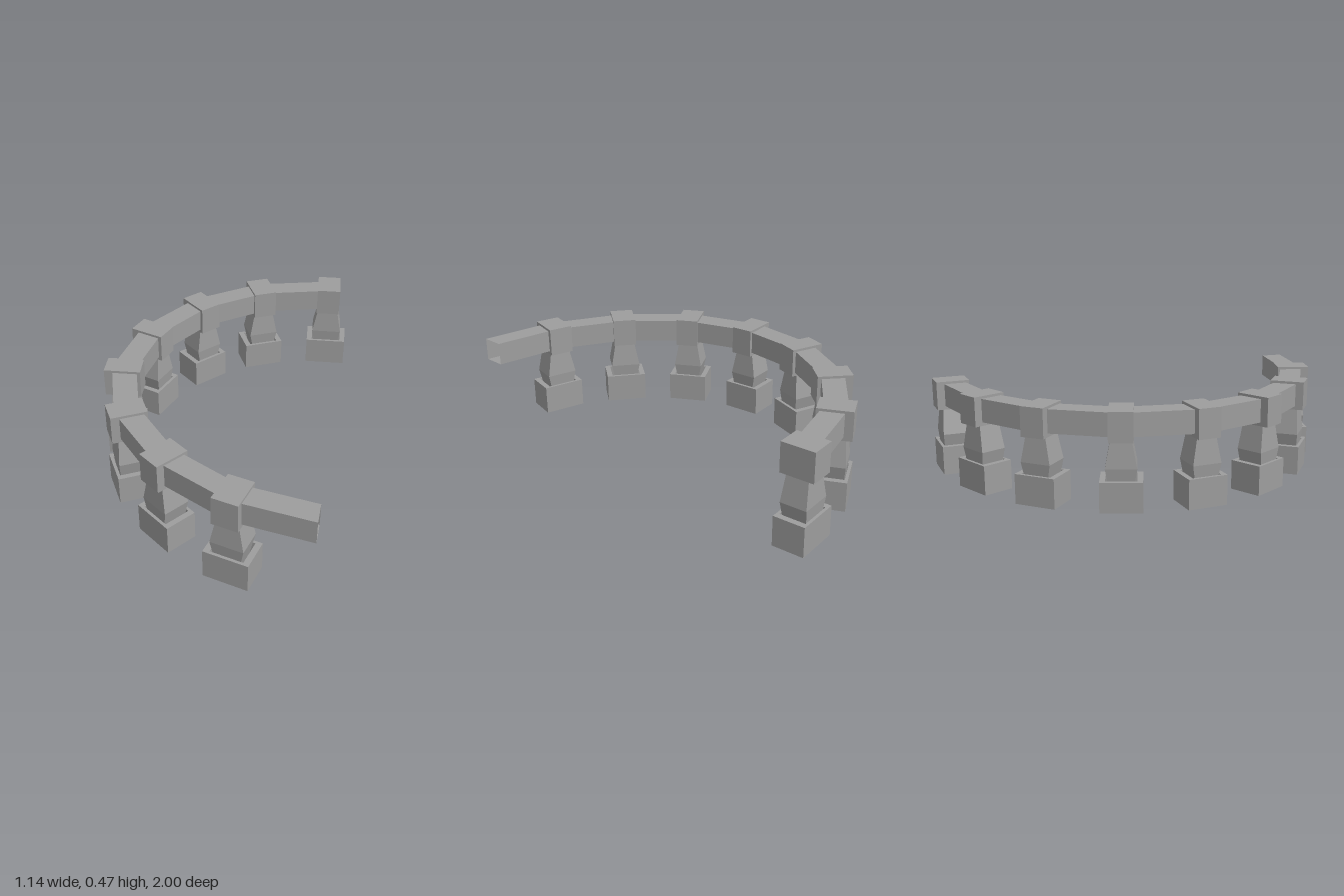
import * as THREE from 'three';

// Posts along the arc: x, z, heading in degrees
const posts = [
  [0.408, -0.915, 5], [0.04, -0.81, 27], [-0.25, -0.587, 49], [-0.437, -0.265, 72],
  [-0.481, 0.098, 95.5], [-0.37, 0.436, 120], [-0.124, 0.711, 143], [0.212, 0.888, 166],
];
const railEnd = [0.57, 0.943, 180];
const rad = THREE.MathUtils.degToRad;

const material = new THREE.MeshStandardMaterial({
  color: 0x9d9d9d, flatShading: true, side: THREE.DoubleSide,
});

// Skin a list of four-cornered rings, leaving both ends open
function loft(rings) {
  const pos = [];
  for (let i = 0; i < rings.length - 1; i++) {
    for (let k = 0; k < 4; k++) {
      const n = (k + 1) % 4;
      const a = rings[i][k], b = rings[i][n], c = rings[i + 1][n], d = rings[i + 1][k];
      pos.push(...a, ...b, ...c, ...a, ...c, ...d);
    }
  }
  const g = new THREE.BufferGeometry();
  g.setAttribute('position', new THREE.Float32BufferAttribute(pos, 3));
  g.computeVertexNormals();
  return g;
}

// Horizontal rectangle at height y
const level = (y, w, d) => [
  [-w / 2, y, d / 2], [w / 2, y, d / 2], [w / 2, y, -d / 2], [-w / 2, y, -d / 2],
];

// +1 at the two ends of the arc, -1 at its middle
const endness = (deg) => Math.cos(2 * rad(deg));

// Upright rectangle across the rail at a station; the rail is widest mid-arc
function railRing([x, z, deg]) {
  const s = Math.sin(rad(deg)), c = Math.cos(rad(deg));
  const h = 0.057 - 0.003 * endness(deg);
  return [[-h, 0.343], [h, 0.343], [h, 0.455], [-h, 0.455]]
    .map(([o, y]) => [x + o * s, y, z + o * c]);
}

export function createModel() {
  const model = new THREE.Group();
  const add = (parent, name, geometry) => {
    const mesh = new THREE.Mesh(geometry, material);
    mesh.name = name;
    parent.add(mesh);
    return mesh;
  };

  // Hollow base with an opening in its top for the shaft
  const baseGeo = loft([
    level(0, 0.204, 0.159), level(0.144, 0.204, 0.159), level(0.144, 0.15, 0.13),
  ]);
  // Shaft bulging in the middle, its foot sunk into the base
  const shaftGeo = loft([
    level(0.07, 0.1, 0.11), level(0.2, 0.15, 0.132), level(0.33, 0.1, 0.11),
  ]);
  const capGeo = new THREE.BoxGeometry(0.117, 0.142, 0.17);

  for (const [x, z, deg] of posts) {
    const post = new THREE.Group();
    post.name = 'post';
    post.position.set(x, 0, z);
    post.rotation.y = rad(deg);
    // Posts are longer along the rail near the ends, deeper across it mid-arc
    post.scale.set(1 + 0.05 * endness(deg), 1, 1 - 0.04 * endness(deg));
    add(post, 'base', baseGeo);
    add(post, 'shaft', shaftGeo);
    add(post, 'cap', capGeo).position.y = 0.396;
    model.add(post);
  }

  // Rail running through the caps, open at its free end
  add(model, 'rail', loft([...posts, railEnd].map(railRing)));

  return model;
}
